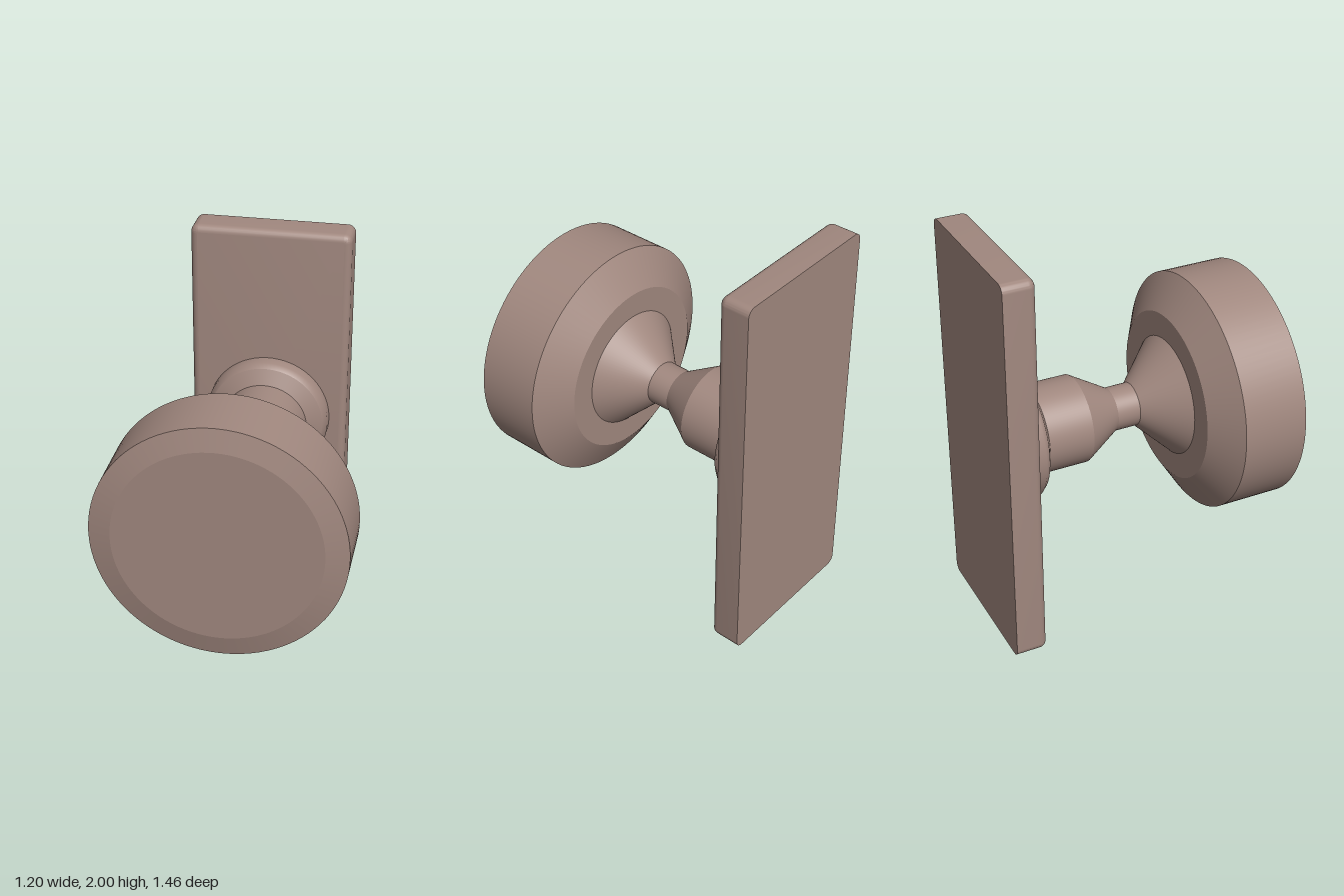
import * as THREE from 'three';
import { toCreasedNormals } from 'three/addons/utils/BufferGeometryUtils.js';

const metal = new THREE.MeshStandardMaterial({ color: 0xa1887f });
metal.name = 'warm brown metal';

// Turned part about the z axis; each run of [radius, z] points is smooth, with sharp edges between runs
function turned(name, runs) {
  const group = new THREE.Group();
  group.name = name;
  runs.forEach((run, i) => {
    const points = run.map(([r, z]) => new THREE.Vector2(r, z));
    const mesh = new THREE.Mesh(new THREE.LatheGeometry(points, 96).rotateX(Math.PI / 2), metal);
    mesh.name = `${name}Surface${i + 1}`;
    group.add(mesh);
  });
  group.position.y = 1;
  return group;
}

// Consecutive profile points as separate sharp-edged runs
const sharp = (points) => points.slice(1).map((p, i) => [points[i], p]);

// Backplate with rounded corners, a rounded front edge and a flat back
function backplate() {
  const w = 0.4, h = 1, r = 0.04, bevel = 0.035;
  const shape = new THREE.Shape();
  shape.absarc(w - r, h - r, r, 0, Math.PI / 2);
  shape.absarc(r - w, h - r, r, Math.PI / 2, Math.PI);
  shape.absarc(r - w, r - h, r, Math.PI, Math.PI * 1.5);
  shape.absarc(w - r, r - h, r, Math.PI * 1.5, Math.PI * 2);
  const geometry = new THREE.ExtrudeGeometry(shape, {
    depth: 0.125, bevelThickness: bevel, bevelSize: bevel, bevelOffset: -bevel,
    bevelSegments: 6, curveSegments: 6,
  });
  // Flatten the rear bevel into the back face
  const pos = geometry.attributes.position;
  for (let i = 0; i < pos.count; i++) pos.setZ(i, Math.max(pos.getZ(i), 0));
  const mesh = new THREE.Mesh(toCreasedNormals(geometry, 0.6), metal);
  mesh.name = 'backplate';
  mesh.position.set(0, 1, -0.73);
  return mesh;
}

export function createModel() {
  const model = new THREE.Group();
  model.name = 'doorKnob';
  model.add(
    backplate(),
    // Stepped collar against the plate
    turned('collar', [
      [[0.315, -0.575], [0.315, -0.51], [0.293, -0.485]],
      [[0.293, -0.485], [0.217, -0.45]],
    ]),
    // Shank tapering to a narrow waist and flaring out to the knob
    turned('shank', sharp([[0.217, -0.45], [0.217, -0.222], [0.108, -0.04], [0.108, 0.078], [0.3, 0.27]])),
    // Knob with a chamfered back and a shallow front bevel
    turned('knob', sharp([[0.3, 0.27], [0.425, 0.27], [0.6, 0.38], [0.6, 0.705], [0.493, 0.73], [0, 0.73]])),
  );
  return model;
}
